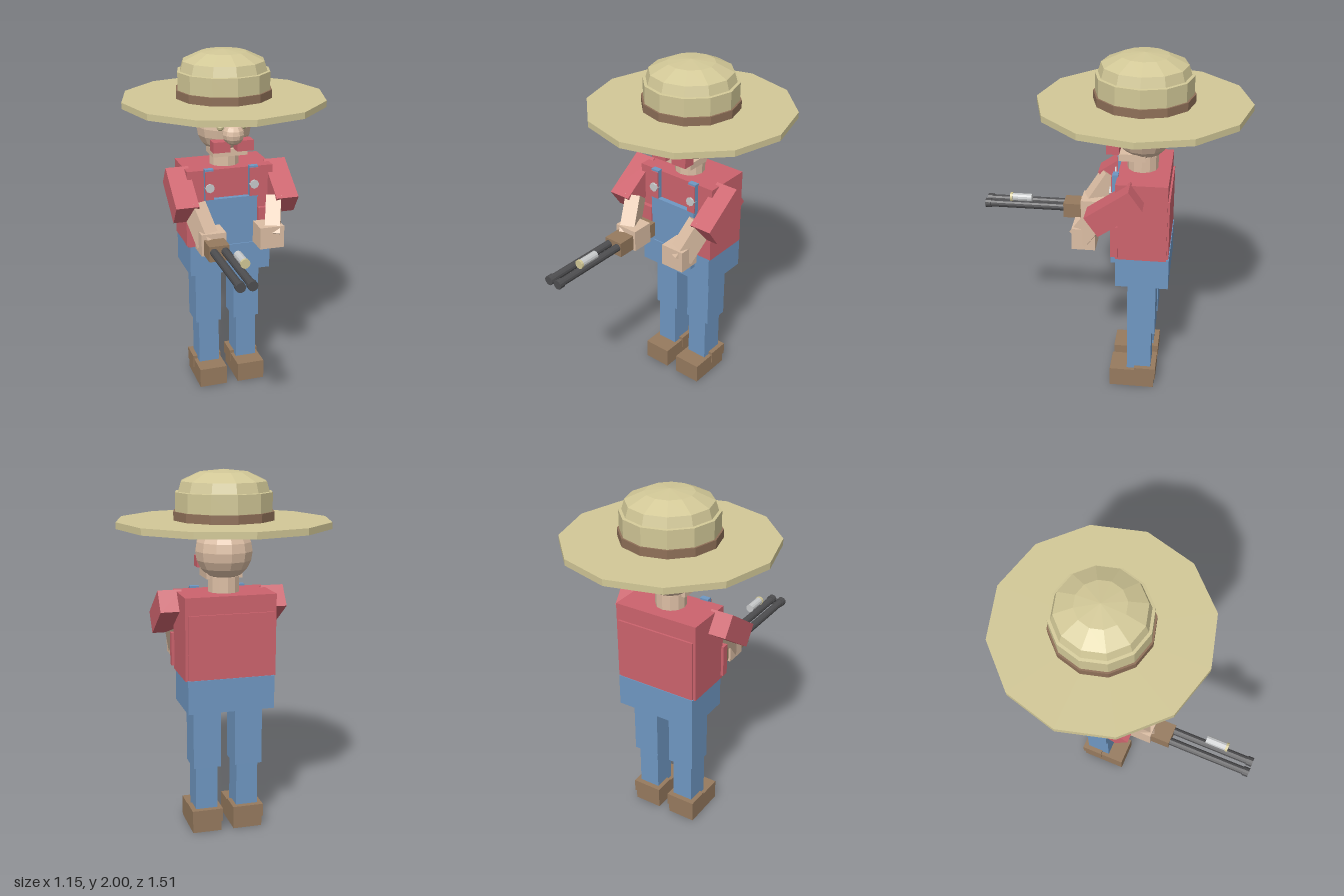
import * as THREE from 'three';

const mat = (name, color, flat = true) => {
  const m = new THREE.MeshStandardMaterial({ color, flatShading: flat });
  m.name = name;
  return m;
};

export function createModel() {
  const root = new THREE.Group();
  root.name = 'farmer';
  const straw = mat('straw', 0xd2c897);
  const band = mat('hatBand', 0x8f7058);
  const skin = mat('skin', 0xdcbea4);
  const red = mat('redCloth', 0xcc636d);
  const denim = mat('denim', 0x6f97c2);
  const leather = mat('leather', 0x967a5e);
  const steel = mat('darkSteel', 0x4e4e50);
  const silver = mat('silver', 0xc8cacb);

  const add = (name, geo, m, x = 0, y = 0, z = 0) => {
    const mesh = new THREE.Mesh(geo, m);
    mesh.name = name;
    mesh.position.set(x, y, z);
    root.add(mesh);
    return mesh;
  };
  // Box given by its minimum and maximum on each axis
  const box = (name, m, [x0, x1], [y0, y1], [z0, z1]) =>
    add(name, new THREE.BoxGeometry(x1 - x0, y1 - y0, z1 - z0), m,
      (x0 + x1) / 2, (y0 + y1) / 2, (z0 + z1) / 2);
  // The same box on both sides
  const pair = (name, m, [x0, x1], y, z) => {
    box(name + 'Left', m, [x0, x1], y, z);
    box(name + 'Right', m, [-x1, -x0], y, z);
  };
  // Cylinder running along z
  const rod = (name, m, r, x, y, z0, z1, sides = 12) => {
    const g = new THREE.CylinderGeometry(r, r, z1 - z0, sides).rotateX(Math.PI / 2);
    return add(name, g, m, x, y, (z0 + z1) / 2);
  };
  // Box limb from a to b
  const limb = (name, m, a, b, w, h) => {
    const A = new THREE.Vector3(...a), B = new THREE.Vector3(...b);
    const mesh = add(name, new THREE.BoxGeometry(w, h, A.distanceTo(B)), m);
    mesh.position.copy(A).add(B).multiplyScalar(0.5);
    mesh.lookAt(B);
  };

  // Hat
  const cz = -0.18;
  add('hatBrim', new THREE.CylinderGeometry(0.575, 0.575, 0.035, 12), straw, 0, 1.722, cz);
  add('hatBand', new THREE.CylinderGeometry(0.272, 0.272, 0.047, 12), band, 0, 1.762, cz);
  const crown = [[0.262, 1.74], [0.262, 1.885], [0.246, 1.887], [0.23, 1.94], [0.13, 1.986], [0, 2]];
  add('hatCrown', new THREE.LatheGeometry(crown.map(p => new THREE.Vector2(...p)), 12), straw, 0, 0, cz);

  // Head and face
  add('head', new THREE.SphereGeometry(0.157, 12, 10), skin, 0, 1.575, cz - 0.005);
  add('neck', new THREE.CylinderGeometry(0.085, 0.085, 0.1, 12), skin, 0, 1.39, cz);
  box('chin', skin, [-0.1, 0.1], [1.425, 1.465], [-0.2, -0.055]);
  add('nose', new THREE.SphereGeometry(0.061, 10, 8), skin, 0, 1.565, 0);
  pair('moustache', red, [0.02, 0.115], [1.467, 1.527], [-0.06, 0.01]);
  pair('eyebrow', red, [0.022, 0.115], [1.62, 1.655], [-0.07, 0]);
  for (const s of [-1, 1])
    add('eye', new THREE.SphereGeometry(0.022, 8, 6), straw, s * 0.065, 1.602, -0.03);

  // Shirt
  box('torso', red, [-0.25, 0.25], [0.905, 1.355], [-0.335, -0.055]);
  box('shirtBack', red, [-0.235, 0.235], [0.905, 1.26], [-0.346, -0.33]);
  pair('shirtFront', red, [0.16, 0.265], [0.925, 1.11], [-0.07, -0.03]);

  // Overalls
  box('hips', denim, [-0.24, 0.24], [0.725, 0.91], [-0.35, -0.055]);
  box('bib', denim, [-0.15, 0.15], [0.905, 1.19], [-0.06, -0.025]);
  box('bibHem', denim, [-0.14, 0.14], [0.815, 0.91], [-0.06, -0.018]);
  pair('strap', denim, [0.105, 0.155], [1.18, 1.365], [-0.06, -0.028]);
  pair('strapCover', red, [0.105, 0.155], [1.19, 1.355], [-0.03, -0.023]);
  for (const s of [-1, 1]) rod('button', silver, 0.026, s * 0.13, 1.26, -0.04, -0.012, 8);

  // Legs and shoes
  pair('thigh', denim, [0.04, 0.195], [0.385, 0.73], [-0.28, -0.12]);
  pair('shin', denim, [0.055, 0.178], [0.1, 0.39], [-0.26, -0.12]);
  pair('shoe', leather, [0.035, 0.2], [0, 0.117], [-0.28, -0.02]);
  pair('shoeHeel', leather, [0.03, 0.205], [0.06, 0.135], [-0.29, -0.165]);

  // Arms
  for (const s of [-1, 1]) {
    limb('sleeve', red, [s * 0.288, 1.312, -0.172], [s * 0.288, 1.148, 0.062], 0.13, 0.13);
    limb('forearm', skin, [s * 0.235, 1.18, 0.02], [s * 0.185, 1.0, 0.14], 0.085, 0.12);
  }
  pair('hand', skin, [0.098, 0.238], [0.945, 1.07], [0.055, 0.185]);

  // Long gun with two barrels
  box('gunStock', leather, [-0.225, -0.112], [0.952, 1.04], [-0.005, 0.29]);
  box('gunTrigger', steel, [-0.19, -0.15], [0.915, 0.955], [0.15, 0.18]);
  for (const x of [-0.2, -0.137]) {
    rod('gunBarrel', steel, 0.022, x, 1.007, 0.25, 0.75);
    rod('gunMuzzle', steel, 0.027, x, 1.007, 0.722, 0.755);
  }
  rod('gunSight', silver, 0.023, -0.126, 1.06, 0.475, 0.59);
  rod('gunSightCap', straw, 0.026, -0.126, 1.06, 0.588, 0.602);

  return root;
}
